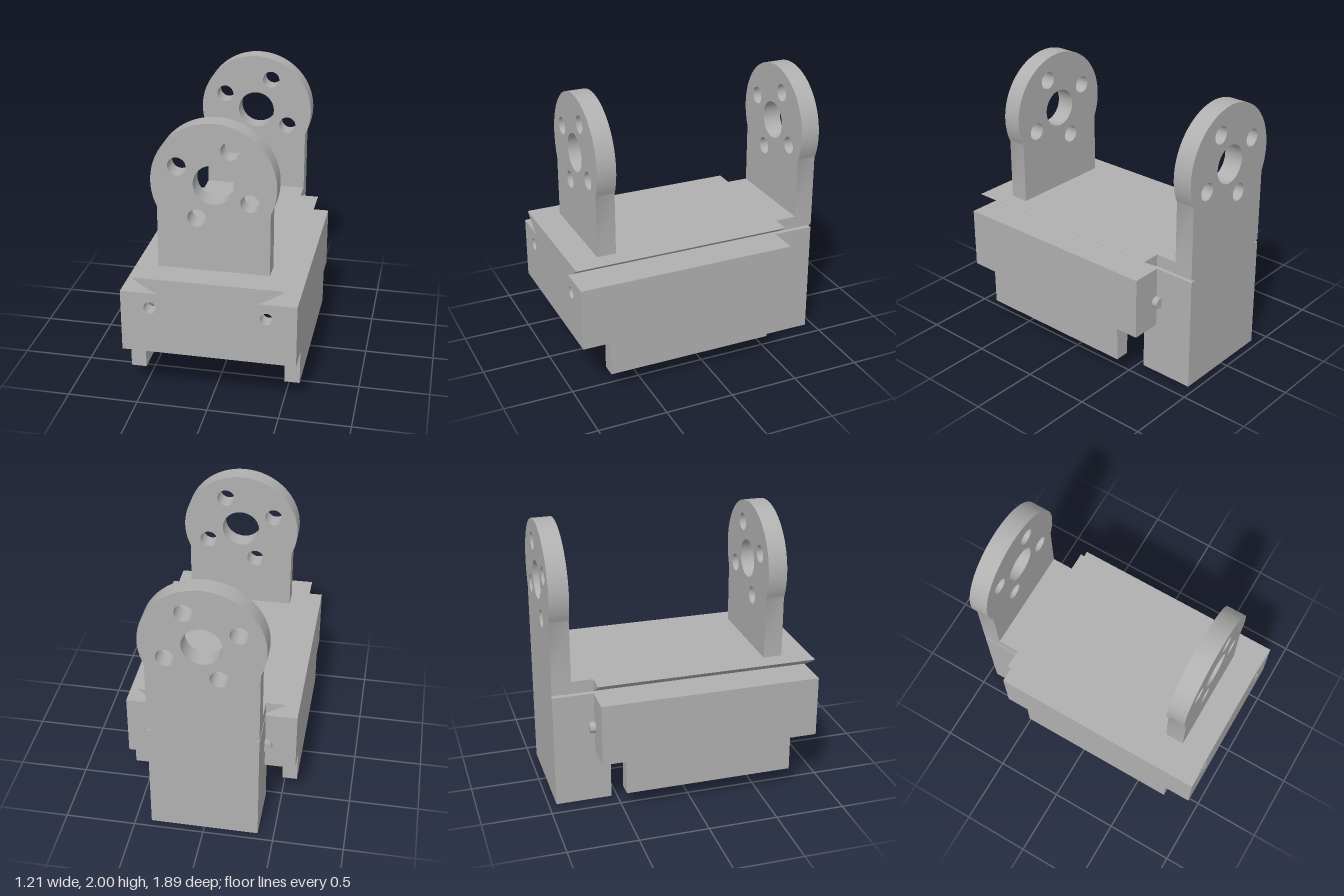
import * as THREE from 'three';
import { toCreasedNormals } from 'three/addons/utils/BufferGeometryUtils.js';

export function createModel() {
  const group = new THREE.Group();
  const grey = new THREE.MeshStandardMaterial({ color: 0xb0b0b0 });
  grey.name = 'grey plastic';

  function add(name, geometry) {
    const mesh = new THREE.Mesh(geometry, grey);
    mesh.name = name;
    group.add(mesh);
    return mesh;
  }
  // Box given by its limits on each axis
  function box(name, x0, x1, y0, y1, z0, z1) {
    const mesh = add(name, new THREE.BoxGeometry(x1 - x0, y1 - y0, z1 - z0));
    mesh.position.set((x0 + x1) / 2, (y0 + y1) / 2, (z0 + z1) / 2);
  }
  // Front-facing outline extruded between two depths
  function slab(name, shape, z0, z1) {
    const geo = new THREE.ExtrudeGeometry(shape, { depth: z1 - z0, bevelEnabled: false, curveSegments: 32 });
    add(name, toCreasedNormals(geo, 0.5)).position.z = z0;
  }
  function hole(shape, x, y, r) {
    shape.holes.push(new THREE.Path().absarc(x, y, r, 0, Math.PI * 2, true));
  }

  const W = 0.605, inner = 0.497, front = 0.945, back = -0.65;
  const low = 0.39, deck = 0.84, top = 0.95, ceiling = 0.81;
  const neck = 0.385;

  // Hollow housing, open underneath
  const wall = new THREE.Shape();
  wall.moveTo(-W, low).lineTo(W, low).lineTo(W, deck).lineTo(-W, deck).closePath();
  for (const s of [-1, 1]) hole(wall, s * 0.4, 0.73, 0.043);
  slab('frontWall', wall, 0.84, front);
  box('backWall', -W, W, low, deck, back, -0.54);
  box('housingRoof', -inner, inner, ceiling, deck, -0.54, 0.84);
  for (const s of [-1, 1]) {
    const x0 = s < 0 ? -W : inner, x1 = s < 0 ? -inner : W;
    box('sideWall', x0, x1, low, deck, -0.54, 0.84);
    box('sideSkirt', x0, x1, 0.137, low, -0.48, 0.745);
    // Locating pin on the rear wall
    const pin = add('rearPin', new THREE.CylinderGeometry(0.04, 0.04, 0.06, 32));
    pin.rotation.x = Math.PI / 2;
    pin.position.set(s * 0.397, 0.585, back - 0.012);
  }

  // Dovetail top plate with slightly curved flanks
  const dovetail = new THREE.Shape();
  dovetail.moveTo(-0.345, deck).lineTo(0.345, deck)
    .quadraticCurveTo(0.44, 0.888, 0.522, top)
    .lineTo(-0.522, top)
    .quadraticCurveTo(-0.44, 0.888, -0.345, deck);
  slab('dovetailPlate', dovetail, back, front);

  // Rear block with the narrow grooves that continue the dovetail
  const block = new THREE.Shape();
  block.moveTo(-neck, 0).lineTo(neck, 0).lineTo(neck, deck).lineTo(0.345, deck)
    .lineTo(neck, 0.86).lineTo(neck, top).lineTo(-neck, top).lineTo(-neck, 0.86)
    .lineTo(-0.345, deck).lineTo(-neck, deck).closePath();
  slab('rearBlock', block, -0.945, back);
  box('rearBlockInner', -neck, neck, 0, deck, back, -0.54);

  // Round-headed mounting lugs with a centre bore and four screw holes
  const cy = 1.576, R = 0.425, a = Math.acos(neck / R);
  const lug = new THREE.Shape();
  lug.moveTo(-neck, top).lineTo(neck, top);
  lug.absarc(0, cy, R, -a, Math.PI + a, false);
  lug.closePath();
  hole(lug, 0, cy, 0.137);
  for (let i = 0; i < 4; i++) {
    const t = 1.137 + i * Math.PI / 2;
    hole(lug, Math.cos(t) * 0.27, cy + Math.sin(t) * 0.27, 0.063);
  }
  slab('frontLug', lug, 0.605, 0.742);
  slab('rearLug', lug, -0.945, -0.807);

  return group;
}
